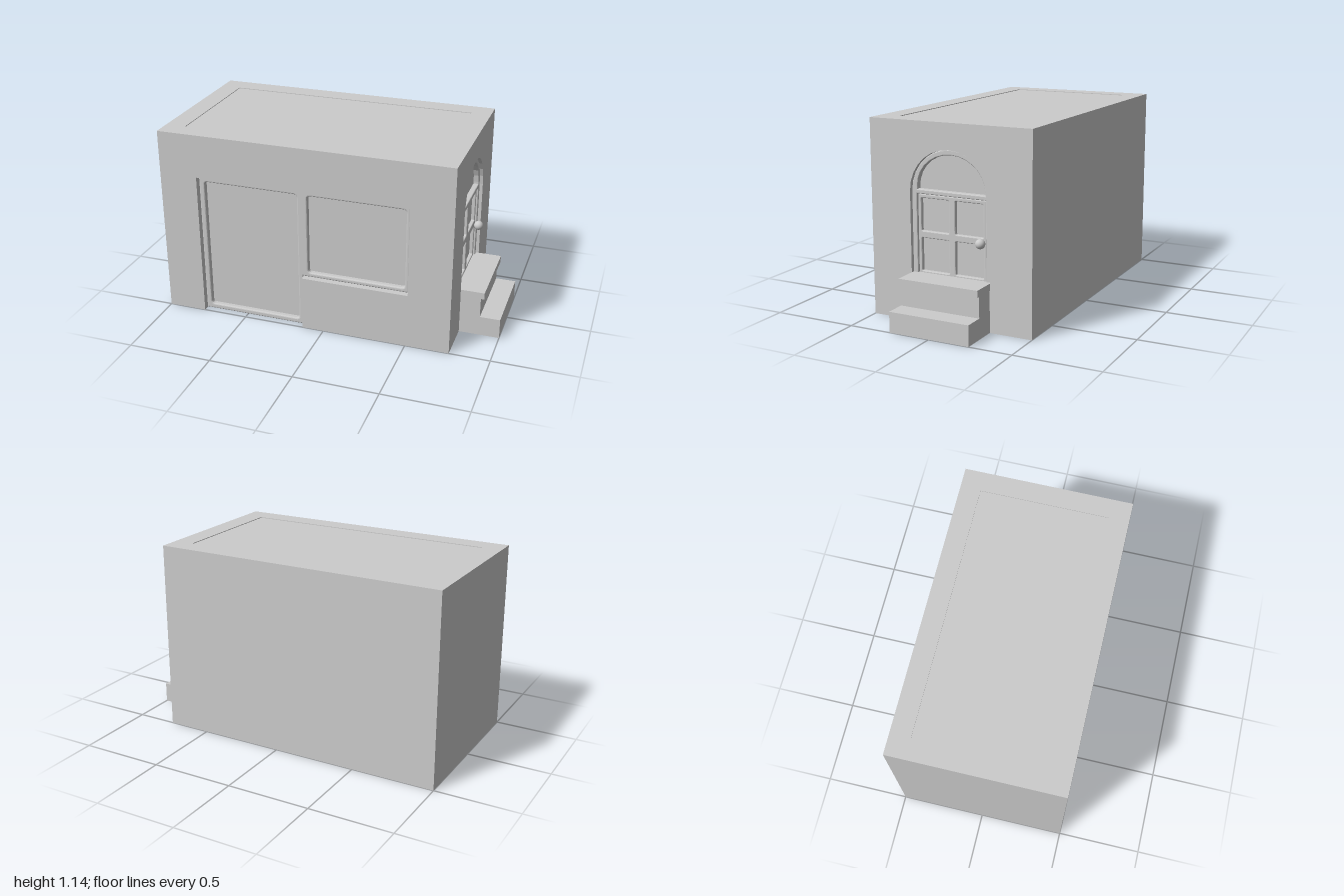
import * as THREE from 'three';

const material = new THREE.MeshStandardMaterial({ color: 0xcccccc });
const H = 1.14, LIP = 0.004, X0 = -1, X1 = 0.76, Z = 0.5;
const WINDOW_DEPTH = 0.06, DOOR_DEPTH = 0.05;

function add(parent, name, geometry, x = 0, y = 0, z = 0) {
  const mesh = new THREE.Mesh(geometry, material);
  mesh.name = name;
  mesh.position.set(x, y, z);
  parent.add(mesh);
  return mesh;
}

// Box given by its two extreme corners
function block(parent, name, a, b) {
  const s = a.map((v, i) => b[i] - v);
  return add(parent, name, new THREE.BoxGeometry(...s), ...a.map((v, i) => v + s[i] / 2));
}

const polygon = (points) => new THREE.Shape(points.map((p) => new THREE.Vector2(...p)));
const rect = (x0, y0, x1, y1) => polygon([[x0, y0], [x1, y0], [x1, y1], [x0, y1]]);

// Rectangle with softened corners
function roundRect(x0, y0, x1, y1, r) {
  const s = new THREE.Shape();
  s.moveTo(x0 + r, y0);
  s.lineTo(x1 - r, y0);
  s.quadraticCurveTo(x1, y0, x1, y0 + r);
  s.lineTo(x1, y1 - r);
  s.quadraticCurveTo(x1, y1, x1 - r, y1);
  s.lineTo(x0 + r, y1);
  s.quadraticCurveTo(x0, y1, x0, y1 - r);
  s.lineTo(x0, y0 + r);
  s.quadraticCurveTo(x0, y0, x0 + r, y0);
  return s;
}

// Rectangle topped by a half-round arch
function arch(r, bottom, spring, rise = r, segments = 14) {
  const points = [[-r, bottom], [r, bottom]];
  for (let i = 0; i <= segments; i++) {
    const a = Math.PI * i / segments;
    points.push([r * Math.cos(a), spring + rise * Math.sin(a)]);
  }
  return polygon(points);
}

function slab(shape, holes, depth) {
  shape.holes.push(...holes);
  return new THREE.ExtrudeGeometry(shape, { depth, bevelEnabled: false, curveSegments: 4 });
}

// Frame whose front edges are rounded; front surface lies at local z = depth
function beveled(shape, holes, depth, b) {
  shape.holes.push(...holes);
  const g = new THREE.ExtrudeGeometry(shape, {
    depth: depth - b, bevelThickness: b, bevelSize: b, bevelOffset: -b, bevelSegments: 3, curveSegments: 4,
  });
  return g;
}

export function createModel() {
  const model = new THREE.Group();
  model.name = 'building';
  const top = H - LIP;

  // Main mass behind the recessed walls
  block(model, 'buildingCore', [X0, 0, -Z], [X1 - DOOR_DEPTH, top, Z - WINDOW_DEPTH]);

  // Front wall, with the stepped shop window opening cut through to the ground
  const frontWall = polygon([
    [X0, 0], [-0.77, 0], [-0.77, 0.88], [0.51, 0.88], [0.51, 0.33],
    [-0.13, 0.33], [-0.13, 0], [X1, 0], [X1, top], [X0, top],
  ]);
  add(model, 'frontWall', slab(frontWall, [], WINDOW_DEPTH), 0, 0, Z - WINDOW_DEPTH);

  // Rounded window frame with a tall and a short pane
  const windowOutline = polygon([
    [-0.769, 0.005], [-0.131, 0.005], [-0.131, 0.331], [0.509, 0.331], [0.509, 0.879], [-0.769, 0.879],
  ]);
  const panes = [roundRect(-0.735, 0.037, -0.162, 0.845, 0.02), roundRect(-0.1, 0.358, 0.483, 0.845, 0.02)];
  add(model, 'windowFrame', beveled(windowOutline, panes, 0.03, 0.009), 0, 0, Z - WINDOW_DEPTH);

  // Door side, drawn facing +z and turned to face +x
  const side = new THREE.Group();
  side.name = 'doorSide';
  side.rotation.y = Math.PI / 2;
  side.position.x = X1 - DOOR_DEPTH;
  model.add(side);

  const sideWall = rect(-(Z - WINDOW_DEPTH), 0, Z, top);
  add(side, 'sideWall', slab(sideWall, [arch(0.247, 0.237, 0.745)], DOOR_DEPTH));

  // Arched door frame with fanlight and doorway
  const fanlight = arch(0.211, 0.757, 0.77, 0.19);
  const doorway = rect(-0.215, 0.25, 0.215, 0.731);
  add(side, 'doorFrame', beveled(arch(0.246, 0.238, 0.745), [fanlight, doorway], 0.032, 0.006));

  // Door leaf with four sunk panels
  const panels = [];
  for (const x of [-0.194, 0.02]) {
    for (const [y0, y1] of [[0.29, 0.48], [0.52, 0.707]]) {
      panels.push(roundRect(x, y0, x + 0.174, y1, 0.008));
    }
  }
  add(side, 'door', beveled(rect(-0.214, 0.25, 0.214, 0.73), panels, 0.022, 0.006));
  add(side, 'doorKnob', new THREE.SphereGeometry(0.028, 24, 16), 0.19, 0.495, DOOR_DEPTH);

  // Roof edge around a very shallow inset
  const rim = slab(rect(X0, -Z, X1, Z), [rect(-0.88, -0.38, 0.64, 0.38)], LIP);
  rim.rotateX(-Math.PI / 2);
  add(model, 'roofRim', rim, 0, top, 0);

  // Entrance steps
  const w = 0.246;
  block(model, 'lowerStep', [X1, 0, -w], [1, 0.12, w]);
  block(model, 'upperStep', [X1, 0.12, -w], [0.88, 0.24, w]);
  block(model, 'threshold', [X1 - DOOR_DEPTH, 0.24, -w], [0.9, 0.28, w]);

  return model;
}
